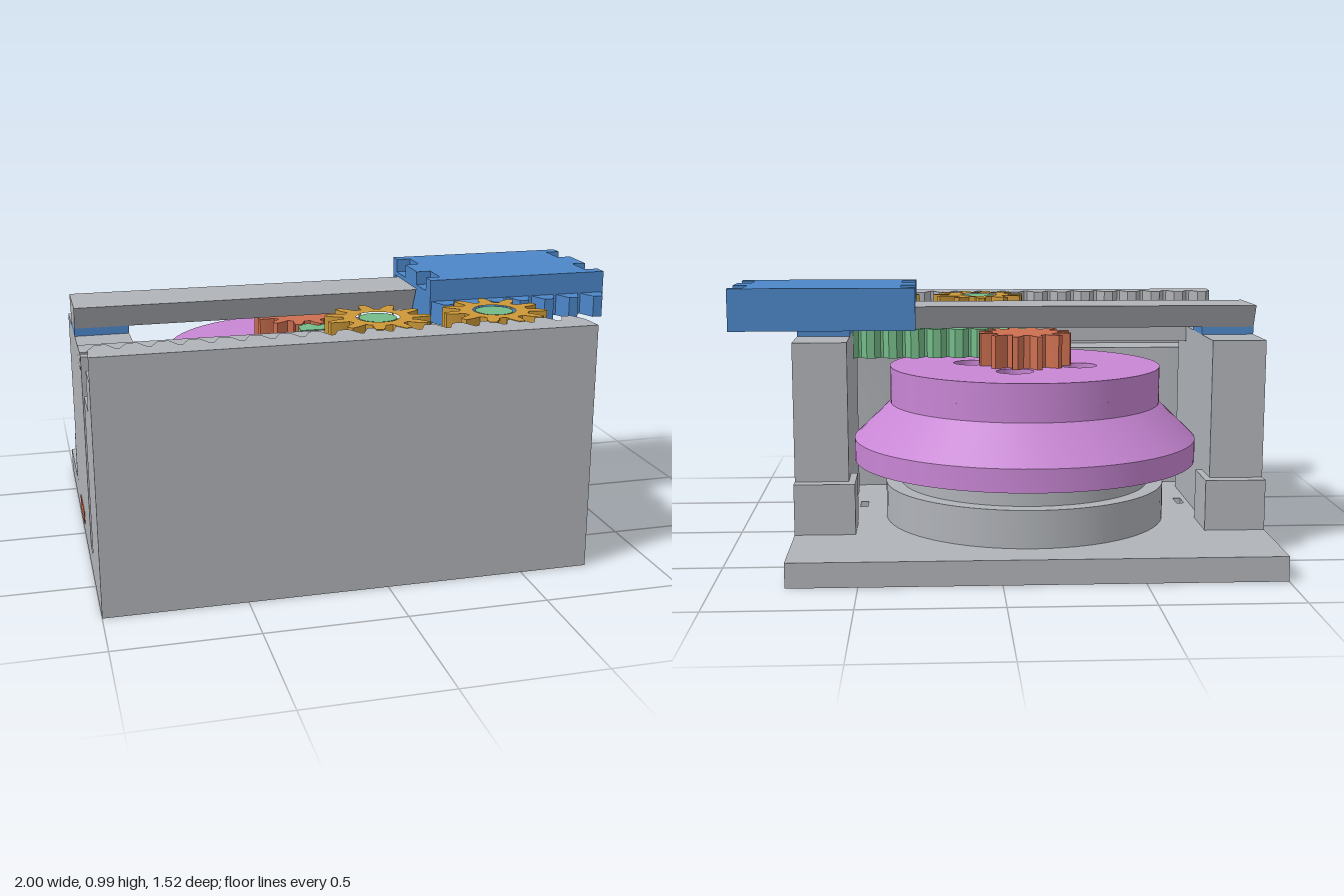
import * as THREE from 'three';
import { toCreasedNormals } from 'three/addons/utils/BufferGeometryUtils.js';

const mat = (name, color) => new THREE.MeshStandardMaterial({ name, color });
const AX = -0.12, AZ = -0.08; // wheel axis

export function createModel() {
  const root = new THREE.Group();
  root.name = 'rackAndPinionMechanism';
  const gray = mat('housingGray', 0xb0b3b8), purple = mat('wheelPurple', 0xc886d4),
    blue = mat('sliderBlue', 0x4c86c8), amber = mat('gearAmber', 0xcc9838),
    green = mat('carriageGreen', 0x74ba88), orange = mat('pinionOrange', 0xcc6f50);

  const add = (name, geo, material) => {
    const m = new THREE.Mesh(geo, material);
    m.name = name;
    root.add(m);
    return m;
  };
  // box from its extents
  const box = (name, material, x0, x1, y0, y1, z0, z1) => {
    const g = new THREE.BoxGeometry(x1 - x0, y1 - y0, z1 - z0);
    g.translate((x0 + x1) / 2, (y0 + y1) / 2, (z0 + z1) / 2);
    return add(name, g, material);
  };
  const cyl = (name, material, r, y0, y1, x, z, seg = 48) =>
    add(name, new THREE.CylinderGeometry(r, r, y1 - y0, seg).translate(x, (y0 + y1) / 2, z), material);
  const poly = pts => new THREE.Shape(pts.map(p => new THREE.Vector2(p[0], -p[1])));
  // plan shape (x, -z) raised from y0 to y1
  const plan = (name, material, shape, y0, y1) => {
    const g = new THREE.ExtrudeGeometry(shape, { depth: y1 - y0, bevelEnabled: false, curveSegments: 48 });
    g.rotateX(-Math.PI / 2).translate(0, y0, 0);
    return add(name, toCreasedNormals(g, 0.5), material);
  };
  // section in (z, y) run from x0 to x1
  const section = (name, material, pts, x0, x1) => {
    const s = new THREE.Shape(pts.map(p => new THREE.Vector2(-p[0], p[1])));
    const g = new THREE.ExtrudeGeometry(s, { depth: x1 - x0, bevelEnabled: false });
    g.rotateY(Math.PI / 2).translate(x0, 0, 0);
    return add(name, g, material);
  };
  const hole = (x, z, r) => new THREE.Path().absarc(x, -z, r, 0, Math.PI * 2, true);
  const slot = (x, z, w, d) => new THREE.Path([[-1, -1], [-1, 1], [1, 1], [1, -1]]
    .map(([a, b]) => new THREE.Vector2(x + a * w / 2, -z + b * d / 2)));
  // straight rack outline with teeth from zRoot to zTip
  const rack = (x0, x1, zBack, zRoot, zTip, count) => {
    const pts = [[x0, zBack]], p = (x1 - x0) / count;
    for (let i = 0; i < count; i++) {
      const x = x0 + i * p;
      pts.push([x + p * 0.06, zRoot], [x + p * 0.32, zTip], [x + p * 0.68, zTip], [x + p * 0.94, zRoot]);
    }
    pts.push([x1, zBack]);
    return poly(pts);
  };
  const gear = (x, z, n, rRoot, rTip, turn, bore) => {
    const pts = [], step = Math.PI * 2 / n, rMid = (rRoot + rTip) / 2;
    for (let i = 0; i < n; i++) {
      for (const [f, r] of [[-0.32, rRoot], [-0.23, rMid], [-0.11, rTip], [0.11, rTip], [0.23, rMid], [0.32, rRoot]]) {
        const a = turn + (i + f) * step;
        pts.push([x + r * Math.cos(a), z + r * Math.sin(a)]);
      }
    }
    const s = poly(pts);
    if (bore) s.holes.push(hole(x, z, bore));
    return s;
  };

  // base plate with bolt holes, pocket and slots
  const base = poly([[-1, 0.76], [0.75, 0.76], [0.75, -0.76], [-1, -0.76]]);
  base.holes.push(hole(AX, AZ, 0.05), slot(-0.18, -0.42, 0.36, 0.2));
  for (const a of [-1, 1]) {
    for (const b of [-1, 1]) base.holes.push(hole(AX + a * 0.148, AZ + b * 0.148, 0.042));
    base.holes.push(slot(-0.125 + a * 0.75, -0.2, 0.1, 0.07), slot(-0.125 + a * 0.64, 0.08, 0.03, 0.08));
  }
  plan('basePlate', gray, base, 0, 0.09);

  // front wall, its ledge hollowed around the wheel, and the fixed rack
  const ledge = new THREE.Shape();
  ledge.moveTo(-1, -0.61).lineTo(0.75, -0.61).lineTo(0.75, -0.43);
  ledge.absarc(AX, -AZ, 0.545, -1.211, -Math.PI + 1.211, true);
  ledge.lineTo(-1, -0.43);
  plan('frontLedge', gray, ledge, 0.09, 0.68);
  box('frontWall', gray, -1, 0.75, 0.09, 0.82, 0.605, 0.76);
  plan('fixedRack', gray, rack(-1, 0.75, 0.76, 0.665, 0.605, 17), 0.82, 0.905);

  // end posts with sockets, clips and rail pads
  for (const s of [-1, 1]) {
    const span = (a, b) => [-0.125 + s * a, -0.125 + s * b].sort((p, q) => p - q);
    box('endPost', gray, ...span(0.675, 0.875), 0.09, 0.735, -0.34, 0.34);
    for (const [z0, z1] of [[-0.34, 0.18], [0.3, 0.34]])
      box('endPostTop', gray, ...span(0.675, 0.875), 0.735, 0.797, z0, z1);
    box('postSocket', gray, ...span(0.675, 0.875), 0.09, 0.28, -0.395, -0.345);
    box('postSocketSide', gray, ...span(0.65, 0.675), 0.09, 0.28, -0.395, -0.2);
    box('postClip', orange, ...span(0.8, 0.879), 0.055, 0.108, -0.14, 0.045);
    box('railPad', blue, ...span(0.675, 0.875), 0.797, 0.826, -0.133, 0.038);
  }

  // pedestal and stepped wheel
  cyl('pedestal', gray, 0.54, 0.09, 0.23, AX, AZ, 72);
  cyl('pedestalNeck', gray, 0.48, 0.23, 0.32, AX, AZ, 72);
  const profile = [[0, 0.32], [0.66, 0.32], [0.66, 0.405], [0.52, 0.54], [0.52, 0.6], [0, 0.6]]
    .map(p => new THREE.Vector2(...p));
  add('wheelFlange', toCreasedNormals(new THREE.LatheGeometry(profile, 80).translate(AX, 0, AZ), 0.5), purple);
  for (const [y0, y1, r] of [[0.6, 0.65, 0.04], [0.65, 0.68, 0.07]]) {
    const disc = new THREE.Shape().absarc(AX, -AZ, 0.52, 0, Math.PI * 2, false);
    for (let i = 0; i < 4; i++) {
      const a = -1.33 + i * Math.PI / 2;
      disc.holes.push(hole(AX + 0.21 * Math.cos(a), AZ + 0.21 * Math.sin(a), r));
    }
    plan('wheelTop', purple, disc, y0, y1);
  }
  // hexagonal inserts under the flange
  for (let i = 0; i < 8; i++) {
    const a = 0.26 + i * Math.PI / 4;
    cyl('flangeInsert', gray, 0.05, 0.316, 0.33, AX + 0.56 * Math.cos(a), AZ - 0.56 * Math.sin(a), 6);
  }
  plan('drivePinion', orange, gear(AX, AZ, 12, 0.125, 0.18, -0.26), 0.68, 0.805);

  // sliding carriage with its own rack, passing under the guide bar
  box('carriageFloor', green, -0.175, 0.7, 0.685, 0.73, 0.16, 0.32);
  box('carriageBlock', green, -0.175, 0.7, 0.685, 0.8, 0.305, 0.597);
  plan('carriageRack', green, rack(-0.175, 0.7, 0.17, 0.105, 0.07, 10), 0.685, 0.8);
  for (const [x, turn] of [[0.04, 0.1], [0.48, 0.25]]) {
    plan('transferGear', amber, gear(x, 0.46, 11, 0.125, 0.19, turn, 0.078), 0.825, 0.907);
    cyl('gearPeg', green, 0.068, 0.8, 0.905, x, 0.46);
    cyl('gearPegShoulder', green, 0.078, 0.8, 0.827, x, 0.46);
  }

  // guide bar and dovetail rail
  box('guideBar', gray, -1, 0.75, 0.737, 0.8, 0.182, 0.288);
  section('dovetailRail', gray, [[0.038, 0.826], [0.08, 0.912], [-0.172, 0.912], [-0.133, 0.826]], -1, 0.75);

  // slider with dovetail channel, end notches and rack
  const channel = [[-0.21, 0.825], [-0.142, 0.825], [-0.186, 0.918], [0.092, 0.918], [0.046, 0.825], [0.265, 0.825]];
  section('sliderBody', blue, [...channel, [0.265, 0.985], [-0.21, 0.985]], 0.355, 0.945);
  const notched = [...channel, [0.265, 0.985], [0.21, 0.985], [0.21, 0.935], [0.097, 0.935], [0.097, 0.985],
    [-0.047, 0.985], [-0.047, 0.935], [-0.16, 0.935], [-0.16, 0.985], [-0.21, 0.985]];
  section('sliderEnd', blue, notched, 0.3, 0.355);
  section('sliderEnd', blue, notched, 0.945, 1);
  plan('sliderRack', blue, rack(0.3, 1, 0.25, 0.268, 0.333, 7), 0.825, 0.905);

  return root;
}
